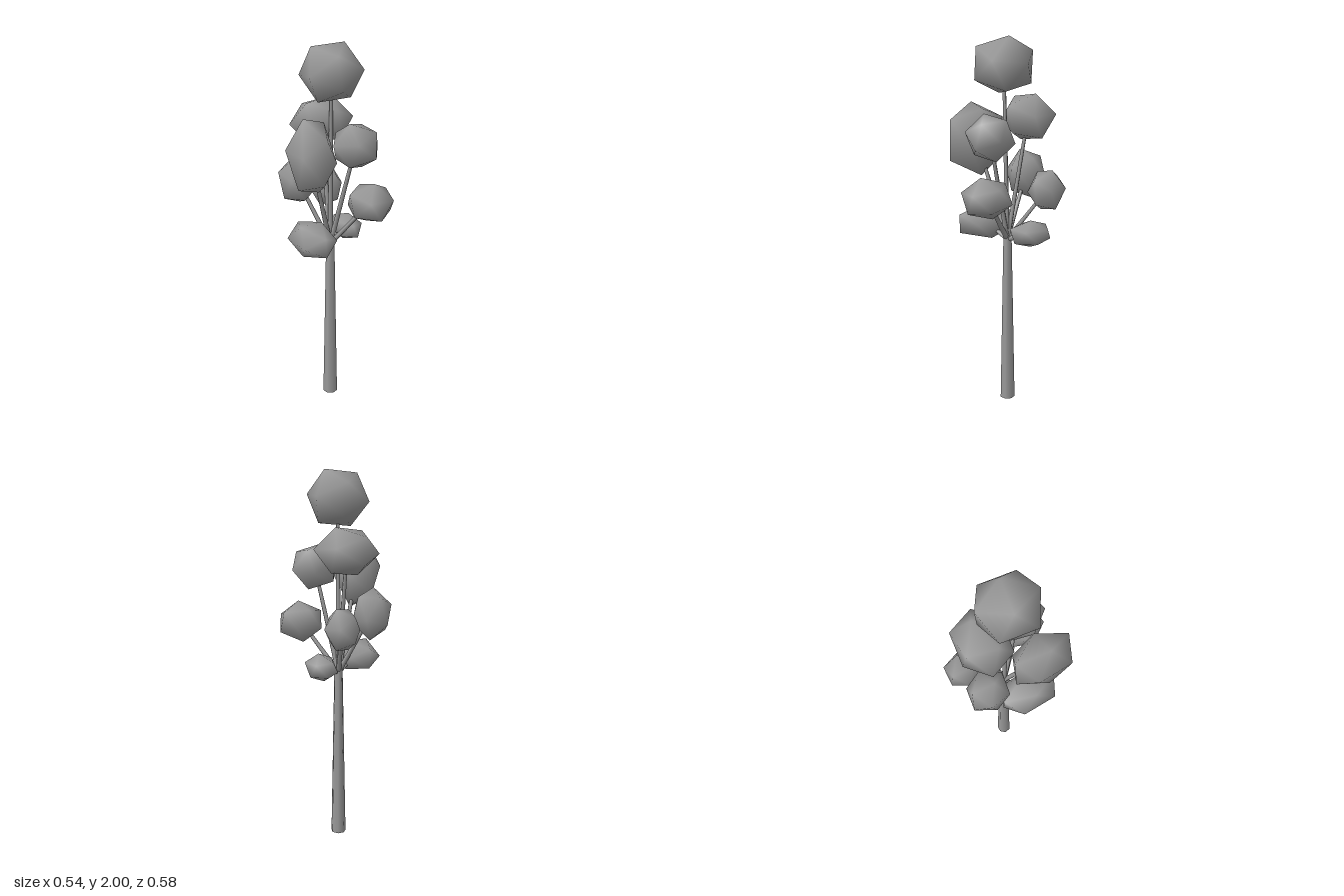
import * as THREE from 'three';
import { mergeVertices } from 'three/addons/utils/BufferGeometryUtils.js';

const grey = new THREE.MeshStandardMaterial({ color: 0x999999 });
grey.name = 'grey';

// Leaf clumps: centre, half sizes, turn (x, y, z)
const clumps = [
  ['crownClump', [-0.004, 1.855, 0.018], [0.152, 0.145, 0.157], [-0.08, -0.12, 0.1]],
  ['upperLeftClump', [-0.162, 1.465, 0.12], [0.108, 0.195, 0.15], [0, 0.13, -0.14]],
  ['upperFrontClump', [0.085, 1.495, 0.125], [0.133, 0.12, 0.121], [0.45, -0.4, -0.35]],
  ['upperBackClump', [0.003, 1.587, -0.115], [0.172, 0.124, 0.124], [0.1, 0.35, 0.15]],
  ['middleFrontClump', [0.152, 1.195, 0.168], [0.115, 0.11, 0.118], [0.1, -0.3, 0.5]],
  ['middleSideClump', [-0.122, 1.265, -0.155], [0.1, 0.135, 0.1], [0.1, 0.3, -0.3]],
  ['middleBackClump', [0.065, 1.2, -0.2], [0.095, 0.11, 0.09], [0.1, 0.45, 0.1]],
  ['lowerFrontClump', [-0.14, 1.005, 0.075], [0.107, 0.085, 0.155], [0, 0.1, 0.05]],
  ['lowerBackClump', [0.133, 0.985, -0.08], [0.072, 0.075, 0.112], [0.1, 0.1, 0.4]],
];

// Smooth-shaded twenty-sided solid, turned and then fitted to its half sizes
function clumpGeometry(half, turn) {
  let geo = new THREE.IcosahedronGeometry(1, 0);
  geo.deleteAttribute('normal');
  geo.deleteAttribute('uv');
  geo = mergeVertices(geo);
  geo.rotateX(turn[0]).rotateY(turn[1]).rotateZ(turn[2]);
  geo.computeBoundingBox();
  const max = geo.boundingBox.max;
  geo.scale(half[0] / max.x, half[1] / max.y, half[2] / max.z);
  geo.computeVertexNormals();
  return geo;
}

// Tapered limb between two points
function limb(name, from, to, r0, r1, sides) {
  const axis = to.clone().sub(from);
  const mesh = new THREE.Mesh(new THREE.CylinderGeometry(r1, r0, axis.length(), sides), grey);
  mesh.position.copy(from).addScaledVector(axis, 0.5);
  mesh.quaternion.setFromUnitVectors(new THREE.Vector3(0, 1, 0), axis.normalize());
  mesh.name = name;
  return mesh;
}

export function createModel() {
  const tree = new THREE.Group();
  tree.name = 'tree';
  const fork = new THREE.Vector3(0, 0.93, 0);

  // Trunk
  tree.add(limb('trunk', new THREE.Vector3(), new THREE.Vector3(0, 0.95, 0), 0.041, 0.023, 7));

  // One branch for each clump
  for (const [name, centre, half, turn] of clumps) {
    const clump = new THREE.Mesh(clumpGeometry(half, turn), grey);
    clump.position.set(...centre);
    clump.name = name;
    tree.add(clump);
    tree.add(limb(name.replace('Clump', 'Branch'), fork, clump.position, 0.014, 0.009, 6));
  }
  return tree;
}
